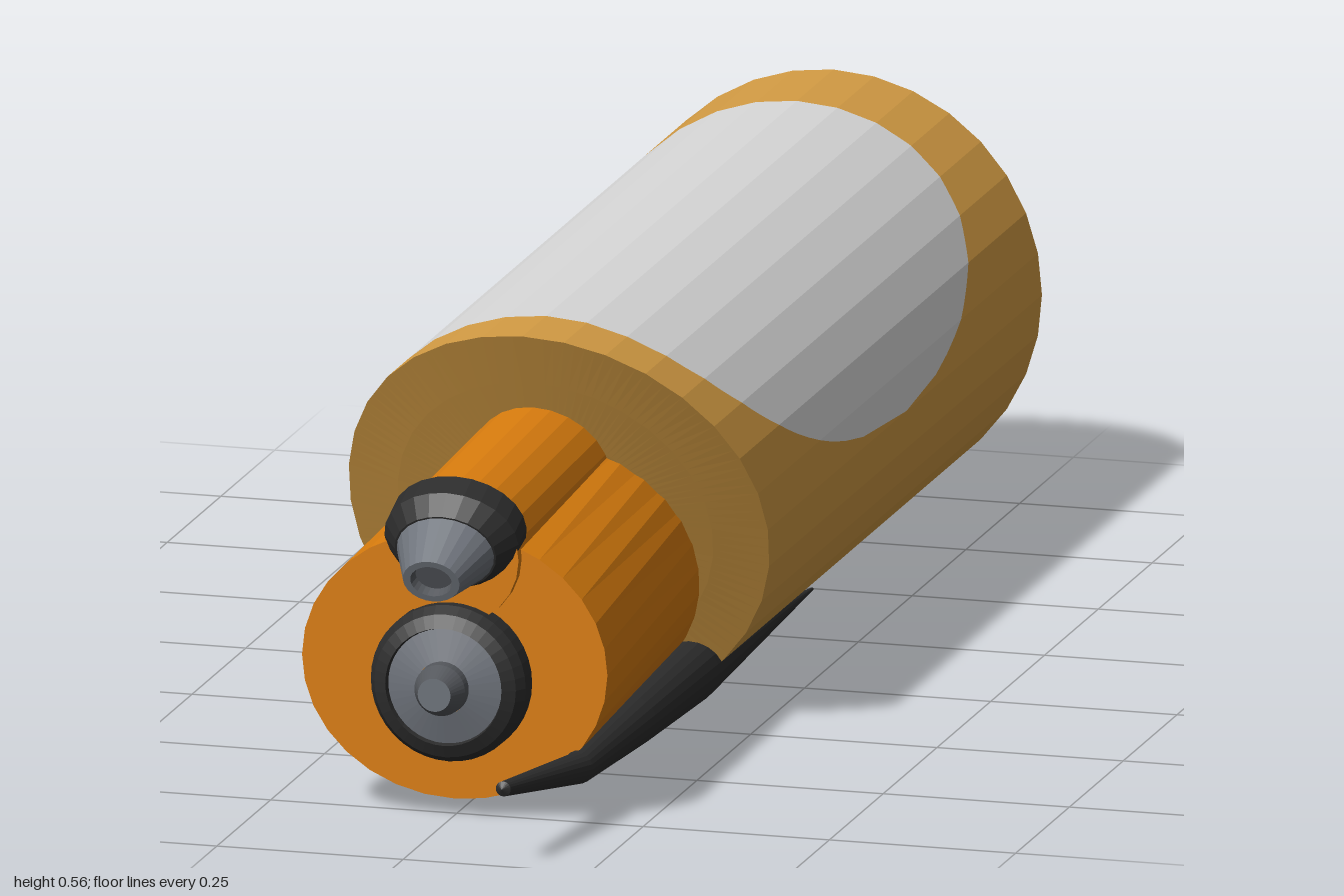
import * as THREE from 'three';

const SIDES = 32, SUB = 4, R = 0.28;

const mat = (name, color) => {
  const m = new THREE.MeshStandardMaterial({ color });
  m.name = name;
  return m;
};

// Faceted surface through rows of equally many points, rows running back to front
function skin(rows) {
  const pos = [];
  for (let i = 0; i < rows.length - 1; i++) {
    for (let j = 0; j < rows[i].length - 1; j++) {
      const a = rows[i][j], b = rows[i][j + 1], c = rows[i + 1][j + 1], d = rows[i + 1][j];
      pos.push(...a, ...b, ...c, ...a, ...c, ...d);
    }
  }
  const g = new THREE.BufferGeometry();
  g.setAttribute('position', new THREE.Float32BufferAttribute(pos, 3));
  g.computeVertexNormals();
  return g;
}

// Elliptical ring around the z axis
function ring(x, y, z, rx, ry, sides = SIDES) {
  return Array.from({ length: sides + 1 }, (_, j) => {
    const a = (j / sides) * Math.PI * 2;
    return [x + Math.cos(a) * rx, y + Math.sin(a) * ry, z];
  });
}

// Turned part along z from [radius, z] pairs
function turned(profile, sides = 40) {
  return skin(profile.map(([r, z]) => ring(0, 0, z, r, r, sides)));
}

export function createModel() {
  const model = new THREE.Group();
  const tan = mat('tan', 0xd49c44);
  const silver = mat('silver', 0xd8d8d8);
  const orange = mat('orange', 0xda7d0e);
  const black = mat('black', 0x2c2c2c);
  const grey = mat('grey', 0x6e737b);
  const darkGrey = mat('darkGrey', 0x54575c);

  const add = (name, geometry, material, parent = model) => {
    const m = new THREE.Mesh(geometry, material);
    m.name = name;
    parent.add(m);
    return m;
  };

  // Outline of the sleeve: a regular polygon with subdivided edges
  const outline = Array.from({ length: SIDES * SUB + 1 }, (_, j) => {
    const k = Math.floor(j / SUB), t = (j % SUB) / SUB, s = (Math.PI * 2) / SIDES;
    const at = (f) => f(k * s) * (1 - t) + f((k + 1) * s) * t;
    return [R * at(Math.cos), R + R * at(Math.sin)];
  });
  const cut = (x, y) => 0.18 + 0.475 * y - 0.5 * x * x;
  const drop = (y) => Math.min(1, Math.max(0, (2 * R - y) / R));
  const panelBack = (x, y) => -0.37 - 0.46 * Math.sqrt(1 - drop(y) ** 2);
  const panelFront = (x, y) => -0.37 + 0.705 * Math.sqrt(1 - drop(y) ** 1.6);
  const row = (zOf, scale = 1) => outline.map(([x, y]) => {
    const px = x * scale, py = R + (y - R) * scale;
    return [px, py, zOf(px, py)];
  });
  const back = () => -1;

  // Sleeve with a slanted front and a wrapped panel on top
  add('sleeveRear', skin([row(back, 0), row(back), row(panelBack)]), tan);
  add('sleevePanel', skin([row(panelBack), row(panelFront)]), silver);
  add('sleeveFront', skin([row(panelFront), row(cut)]), tan);
  add('sleeveSlantedFace', skin([1, 0.75, 0.5, 0.25, 0].map((s) => row(cut, s))), tan);

  // Main barrel and the smaller tube on its top
  add('barrel', skin([
    ring(0, 0.225, 0.1, 0.178, 0.2),
    ring(0, 0.2, 0.76, 0.205, 0.178),
    ring(0, 0.2, 0.76, 0, 0),
  ]), orange);
  add('upperTube', skin([
    ring(0, 0.371, 0.2, 0.09, 0.09, 24),
    ring(0, 0.348, 0.775, 0.09, 0.09, 24),
    ring(0, 0.348, 0.775, 0, 0, 24),
  ]), orange);

  // Lower nozzle
  const lower = new THREE.Group();
  lower.name = 'lowerNozzle';
  lower.position.set(0, 0.183, 0.76);
  add('lowerCollar', turned([[0.104, -0.01], [0.104, 0.03], [0.095, 0.045], [0.078, 0.053], [0.076, 0.045]]), black, lower);
  add('lowerDisc', turned([[0.078, 0.045], [0.035, 0.056]]), grey, lower);
  add('lowerHub', turned([[0.035, 0.05], [0.034, 0.07], [0.022, 0.096]]), darkGrey, lower);
  add('lowerTip', turned([[0.022, 0.096], [0, 0.096]]), grey, lower);
  model.add(lower);

  // Upper nozzle, tilted down
  const upper = new THREE.Group();
  upper.name = 'upperNozzle';
  upper.position.set(0, 0.37, 0.775);
  upper.rotation.x = 0.33;
  upper.scale.y = 0.8;
  add('upperCollar', turned([[0.09, -0.04], [0.09, 0], [0.068, 0.03], [0.06, 0.03]], 24), black, upper);
  add('upperCone', turned([[0.066, 0.028], [0.038, 0.1], [0.028, 0.1]], 24), grey, upper);
  add('upperBore', turned([[0.028, 0.1], [0.025, 0.085], [0, 0.085]], 24), darkGrey, upper);
  model.add(upper);

  // Tapered spike lying along the lower left side
  const spike = [
    [0.178, 0.057, -0.285, 0.002], [0.166, 0.063, 0, 0.024], [0.158, 0.069, 0.22, 0.041],
    [0.163, 0.073, 0.5, 0.033], [0.168, 0.077, 0.77, 0.021], [0.133, 0.102, 0.995, 0.01],
    [0.132, 0.102, 1, 0],
  ];
  add('spike', skin(spike.map(([x, y, z, r]) => ring(x, y, z, r, r, 20))), black);

  return model;
}
